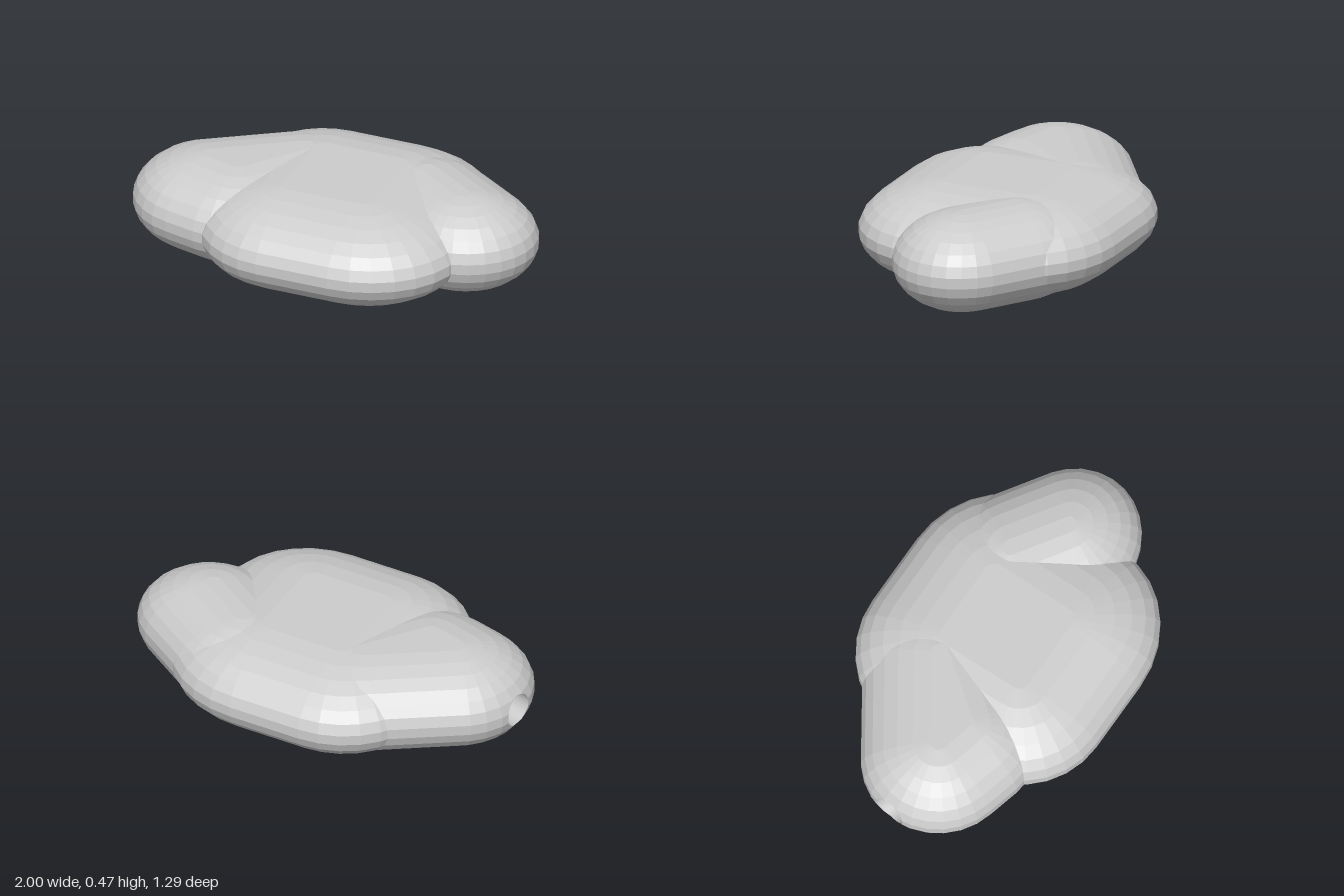
import * as THREE from 'three';
import { ConvexGeometry } from 'three/addons/geometries/ConvexGeometry.js';

const MID = 0.235; // half of the overall height
const SIDES = 28, RINGS = 14;
const material = new THREE.MeshStandardMaterial({ color: 0xcccccc, flatShading: true });

// Hull around flattened ellipsoids; each pad is [x, z, radiusX, radiusZ]
function pebble(pads) {
  const points = [];
  const half = Math.PI / RINGS / 2;
  for (const [x, z, rx, rz] of pads) {
    for (let i = 0; i < RINGS; i++) {
      const lat = -Math.PI / 2 + (2 * i + 1) * half;
      const r = Math.cos(lat) / Math.cos(half);
      const y = MID + MID * Math.sin(lat) / Math.cos(half);
      for (let j = 0; j < SIDES; j++) {
        const a = j / SIDES * Math.PI * 2;
        points.push(new THREE.Vector3(x + rx * r * Math.cos(a), y, z + rz * r * Math.sin(a)));
      }
    }
  }
  return new ConvexGeometry(points);
}

// Splits a polygon by a plane into its outer and inner pieces
function split(poly, plane) {
  const outer = [], inner = [];
  poly.forEach((p, i) => {
    const q = poly[(i + 1) % poly.length];
    const dp = plane.distanceToPoint(p), dq = plane.distanceToPoint(q);
    (dp >= 0 ? outer : inner).push(p);
    if ((dp >= 0) !== (dq >= 0)) {
      const cut = p.clone().lerp(q, dp / (dp - dq));
      outer.push(cut);
      inner.push(cut);
    }
  });
  return [outer, inner];
}

function fromTriangles(triangles) {
  const geometry = new THREE.BufferGeometry().setFromPoints(triangles);
  geometry.computeVertexNormals();
  return geometry;
}

// Cuts a blind round bore into a convex geometry
function drill(geometry, mouth, inward, radius, depth) {
  const n = 32;
  const up = new THREE.Vector3(0, 1, 0);
  const side = new THREE.Vector3().crossVectors(up, inward);
  const radial = a => side.clone().multiplyScalar(Math.cos(a)).addScaledVector(up, Math.sin(a));
  const planes = [], rim = [], floor = [];
  const target = new THREE.Mesh(geometry, material);
  const caster = new THREE.Raycaster();
  for (let i = 0; i < n; i++) {
    const a = i / n * Math.PI * 2;
    const corner = mouth.clone().addScaledVector(radial(a), radius);
    const normal = radial(a + Math.PI / n);
    planes.push(new THREE.Plane().setFromNormalAndCoplanarPoint(normal, corner));
    caster.set(corner.clone().addScaledVector(inward, -1), inward);
    const hit = caster.intersectObject(target)[0];
    rim.push(hit ? hit.point.clone() : corner);
    floor.push(corner.clone().addScaledVector(inward, depth));
  }

  // Skin with the round opening left out
  const skin = [];
  const pos = geometry.attributes.position;
  for (let t = 0; t < pos.count; t += 3) {
    const tri = [0, 1, 2].map(k => new THREE.Vector3().fromBufferAttribute(pos, t + k));
    const normal = new THREE.Triangle(...tri).getNormal(new THREE.Vector3());
    if (normal.dot(inward) > -0.2) { skin.push(...tri); continue; }
    const pieces = [];
    let rest = tri;
    for (const plane of planes) {
      const [outer, inner] = split(rest, plane);
      if (outer.length > 2) pieces.push(outer);
      rest = inner;
      if (rest.length < 3) break;
    }
    if (rest.length < 3) { skin.push(...tri); continue; }
    for (const p of pieces)
      for (let k = 1; k < p.length - 1; k++) skin.push(p[0], p[k], p[k + 1]);
  }

  // Bore wall and floor
  const bore = [];
  const end = mouth.clone().addScaledVector(inward, depth);
  for (let i = 0; i < n; i++) {
    const j = (i + 1) % n;
    bore.push(rim[i], floor[i], rim[j], rim[j], floor[i], floor[j], floor[i], end, floor[j]);
  }
  return [fromTriangles(skin), fromTriangles(bore)];
}

export function createModel() {
  const group = new THREE.Group();
  const add = (name, geometry, mat = material) => {
    const mesh = new THREE.Mesh(geometry, mat);
    mesh.name = name;
    group.add(mesh);
  };

  // Broad middle body
  add('middleBody', pebble([
    [-0.15, -0.2, 0.46, 0.445], [-0.15, 0.2, 0.44, 0.445],
    [0.22, -0.2, 0.5, 0.445], [0.22, 0.2, 0.5, 0.445],
  ]));

  // Lobe on the +x end
  add('leftLobe', pebble([[0.63, -0.045, 0.37, 0.335], [0.38, -0.21, 0.37, 0.335]]));

  // Lobe on the -x end, with a blind round bore in its tip
  const lobe = pebble([
    [-0.63, 0.06, 0.37, 0.37], [-0.47, 0.1, 0.37, 0.37], [-0.25, -0.19, 0.37, 0.37],
  ]);
  const inward = new THREE.Vector3(0.956, 0, 0.29).normalize();
  const [skin, bore] = drill(lobe, new THREE.Vector3(-0.98, MID, 0.02), inward, 0.082, 0.35);
  add('rightLobe', skin);
  const inside = material.clone();
  inside.side = THREE.DoubleSide;
  add('bore', bore, inside);
  return group;
}
